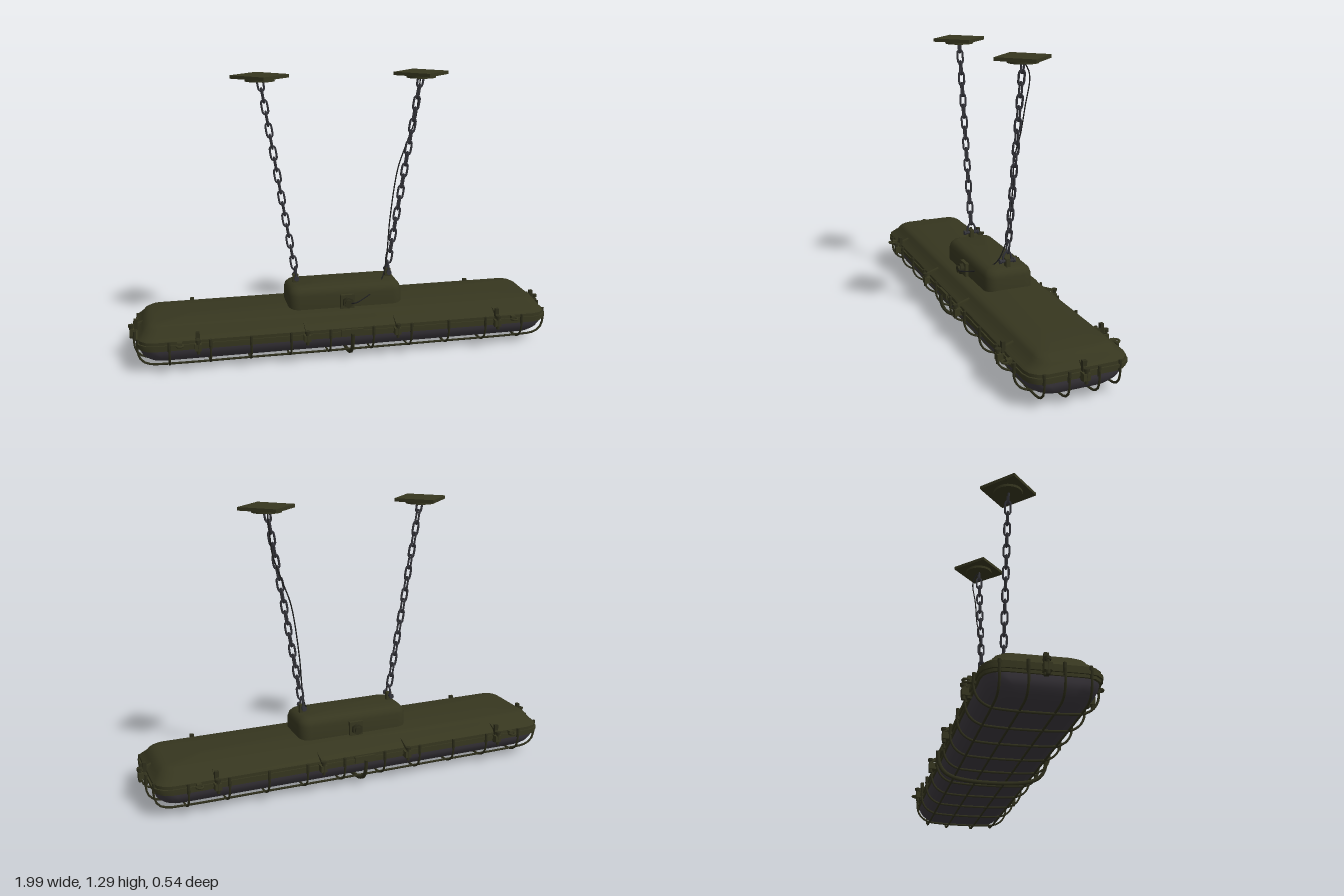
import * as THREE from 'three';
import { toCreasedNormals } from 'three/addons/utils/BufferGeometryUtils.js';

const mat = (name, color) => Object.assign(new THREE.MeshStandardMaterial({ color }), { name });
const V = (x, y, z) => new THREE.Vector3(x, y, z);

export function createModel() {
  const model = new THREE.Group();
  model.name = 'hangingLamp';
  const olive = mat('olivePaint', 0x36361f);
  const darkOlive = mat('cagePaint', 0x2e2e1b);
  const steel = mat('chainSteel', 0x34343a);
  const glass = mat('smokedGlass', 0x3d393f);
  const rubber = mat('cableRubber', 0x1f1f20);

  function add(name, geometry, material, parent = model, x = 0, y = 0, z = 0) {
    const m = new THREE.Mesh(geometry, material);
    m.name = name;
    m.position.set(x, y, z);
    parent.add(m);
    return m;
  }
  const box = (w, h, d) => new THREE.BoxGeometry(w, h, d);
  const cyl = (r, h, n = 12) => new THREE.CylinderGeometry(r, r, h, n);
  const tube = (pts, r, n, closed = false) =>
    new THREE.TubeGeometry(new THREE.CatmullRomCurve3(pts, closed, 'centripetal'), n, r, 6, closed);

  // Solid through rounded rectangles listed upwards as [y, halfX, halfZ, cornerRadius]
  function loft(rings, seg = 4, crease = 0.6) {
    const pos = [], idx = [], n = 4 * (seg + 1);
    for (const [y, hx, hz, r] of rings) {
      for (let c = 0; c < 4; c++) {
        const sx = c === 0 || c === 3 ? 1 : -1, sz = c < 2 ? 1 : -1;
        for (let k = 0; k <= seg; k++) {
          const a = (c + k / seg) * Math.PI / 2;
          pos.push(sx * (hx - r) + r * Math.cos(a), y, sz * (hz - r) + r * Math.sin(a));
        }
      }
    }
    const last = rings.length - 1, bottom = pos.length / 3, top = bottom + 1;
    pos.push(0, rings[0][0], 0, 0, rings[last][0], 0);
    for (let j = 0; j < n; j++) {
      const k = (j + 1) % n;
      for (let i = 0; i < last; i++) {
        const a = i * n + j, b = i * n + k;
        idx.push(a, a + n, b + n, a, b + n, b);
      }
      idx.push(bottom, j, k, top, last * n + k, last * n + j);
    }
    const g = new THREE.BufferGeometry();
    g.setAttribute('position', new THREE.Float32BufferAttribute(pos, 3));
    g.setIndex(idx);
    return toCreasedNormals(g, crease);
  }

  // Housing with flange, sloped shoulder and shallow hipped roof
  add('housing', loft([
    [0.118, 0.955, 0.222, 0.075], [0.16, 0.955, 0.222, 0.075], [0.168, 0.945, 0.212, 0.07],
    [0.188, 0.93, 0.18, 0.06], [0.203, 0.918, 0.172, 0.055], [0.214, 0.9, 0.157, 0.05],
    [0.218, 0.88, 0.14, 0.045], [0.23, 0.72, 0.065, 0.01],
  ], 3), olive);
  add('flangeRim', loft([
    [0.13, 0.962, 0.228, 0.078], [0.146, 0.962, 0.228, 0.078],
  ], 3), olive);

  // Diffuser bowl under the housing
  add('glassBowl', loft([
    [0.038, 0.84, 0.08, 0.05], [0.042, 0.89, 0.13, 0.07], [0.054, 0.92, 0.17, 0.08],
    [0.075, 0.937, 0.197, 0.085], [0.1, 0.945, 0.211, 0.08], [0.122, 0.948, 0.215, 0.075],
  ], 5, 1.0), glass);

  // Ballast box on top, with a cable gland on each long side
  add('ballastBox', loft([
    [0.212, 0.27, 0.115, 0.05], [0.285, 0.268, 0.113, 0.05], [0.303, 0.262, 0.107, 0.046],
    [0.316, 0.25, 0.095, 0.04], [0.323, 0.23, 0.075, 0.03],
  ], 5, 0.7), olive);
  for (const s of [1, -1]) {
    const gland = new THREE.Group();
    gland.name = 'cableGland';
    gland.position.set(0, 0.252, s * 0.11);
    gland.rotation.x = s * Math.PI / 2;
    model.add(gland);
    add('glandBase', box(0.066, 0.02, 0.066), olive, gland, 0, 0.01, 0);
    add('glandNut', cyl(0.026, 0.022, 6), darkOlive, gland, 0, 0.026, 0);
    add('glandCap', cyl(0.017, 0.016, 12), darkOlive, gland, 0, 0.04, 0);
  }

  // Wire cage: cross ribs, one heavy centre rib, lengthwise wires
  const mirrorPath = (half, map) => [
    ...half.map(([a, y]) => map(a, y)),
    ...half.slice(0, -1).reverse().map(([a, y]) => map(-a, y)),
  ];
  const cage = new THREE.Group();
  cage.name = 'wireCage';
  model.add(cage);
  const ribHalf = [[0.234, 0.135], [0.228, 0.09], [0.21, 0.058], [0.175, 0.036], [0.12, 0.029], [0, 0.026]];
  const ribX = [0.1, 0.28, 0.46, 0.64, 0.82].flatMap(x => [x, -x]);
  for (const x of ribX) {
    add('cageRib', tube(mirrorPath(ribHalf, (z, y) => V(x, y, z)), 0.005, 40), darkOlive, cage);
    for (const s of [1, -1]) add('ribBolt', cyl(0.007, 0.045, 8), darkOlive, cage, x, 0.14, s * 0.23);
  }
  const centreHalf = [[0.243, 0.14], [0.236, 0.085], [0.212, 0.047], [0.17, 0.025], [0.1, 0.013], [0, 0.009]];
  add('centreRib', tube(mirrorPath(centreHalf, (z, y) => V(0, y, z)), 0.009, 44), darkOlive, cage);
  const wireHalf = [[0.973, 0.14], [0.97, 0.09], [0.955, 0.055], [0.92, 0.036], [0.86, 0.031], [0.4, 0.029], [0, 0.028]];
  for (const z of [0.065, -0.065, 0.165, -0.165]) {
    const lift = Math.abs(z) > 0.1 ? 0.006 : 0, inset = Math.abs(z) > 0.1 ? 0.985 : 1;
    add('cageWire', tube(mirrorPath(wireHalf, (x, y) => V(x * inset, y + lift, z)), 0.005, 80), darkOlive, cage);
    for (const s of [1, -1]) add('wireBolt', cyl(0.007, 0.045, 8), darkOlive, cage, s * 0.968 * inset, 0.14, z);
  }

  // Clamps around the flange; each is built facing +z at its own origin
  function clamp(x, z, turn, height) {
    const g = new THREE.Group();
    g.name = 'clamp';
    g.position.set(x, 0, z);
    g.rotation.y = turn;
    model.add(g);
    add('clampLug', box(0.03, 0.03, 0.035), olive, g, 0, 0.135, 0.012);
    add('clampBolt', cyl(0.008, 0.065, 8), darkOlive, g, 0, 0.138, 0.022);
    add('clampNut', cyl(0.013, 0.012, 6), darkOlive, g, 0, 0.165, 0.022);
    add('clampArm', box(0.014, 0.014, 0.075), olive, g, 0, 0.172, -0.012).rotation.x = 0.35;
    if (height) add('clampLever', box(0.018, height, 0.016), darkOlive, g, 0, 0.11 + height / 2, 0);
  }
  for (const s of [1, -1]) {
    const turn = s > 0 ? 0 : Math.PI;
    for (const x of [-0.695, 0.695]) clamp(x, s * 0.225, turn, 0.09);
    for (const x of [-0.21, 0.21]) clamp(x, s * 0.225, turn, 0);
    clamp(s * 0.962, 0, s * Math.PI / 2, 0.085);
    // Lifting eyes and centre rib mounts
    for (const x of [-0.775, 0.775]) {
      add('eyeLug', box(0.022, 0.02, 0.04), olive, model, x, 0.15, s * 0.225);
      add('liftingEye', new THREE.TorusGeometry(0.014, 0.005, 6, 16), olive, model, x, 0.15, s * 0.25)
        .rotation.x = Math.PI / 2;
    }
    add('ribMount', box(0.1, 0.03, 0.012), olive, model, 0, 0.14, s * 0.227);
  }

  // Ceiling plates, chains and shackles
  const linkPts = [];
  for (let i = 0; i < 16; i++) {
    const a = (i + 0.5) / 16 * Math.PI * 2;
    linkPts.push(V(0.0125 * Math.cos(a), 0.0125 * Math.sin(a) + (i < 8 ? 0.02 : -0.02), 0));
  }
  const link = tube(linkPts, 0.005, 28, true);
  for (const s of [1, -1]) {
    const hanger = new THREE.Group();
    hanger.name = s > 0 ? 'leftHanger' : 'rightHanger';
    model.add(hanger);
    add('ceilingPlate', box(0.185, 0.015, 0.185), olive, hanger, s * 0.37, 1.2825, 0).rotation.y = Math.PI / 4;
    add('plateBoss', cyl(0.067, 0.014, 24), olive, hanger, s * 0.37, 1.269, 0);
    for (let i = 0; i < 17; i++) {
      const t = i / 16;
      const m = add('chainLink', link, steel, hanger, s * (0.367 - 0.137 * t), 1.25 - 0.832 * t, 0);
      m.rotation.set(0, i % 2 ? Math.PI / 2 : 0, -s * 0.163, 'ZYX');
    }
    // Bottom shackle with cross pin, standing on a lug
    const x = s * 0.222;
    add('shackle', tube([V(x, 0.34, 0.02), V(x, 0.375, 0.018), V(x, 0.397, 0), V(x, 0.375, -0.018), V(x, 0.34, -0.02)],
      0.005, 20), steel, hanger);
    add('shacklePin', cyl(0.007, 0.075, 8), steel, hanger, x, 0.348, 0).rotation.x = Math.PI / 2;
    for (const e of [1, -1]) add('pinHead', cyl(0.012, 0.008, 8), steel, hanger, x, 0.348, e * 0.034).rotation.x = Math.PI / 2;
    add('shackleLug', box(0.026, 0.05, 0.02), olive, hanger, x, 0.335, 0);
  }

  // Power cable from the front gland up along the left chain
  add('powerCable', tube([
    V(0, 0.252, 0.15), V(0.03, 0.255, 0.16), V(0.08, 0.265, 0.13), V(0.14, 0.29, 0.09), V(0.19, 0.335, 0.04),
    V(0.215, 0.42, 0.008), V(0.235, 0.6, -0.012), V(0.27, 0.84, -0.012), V(0.31, 0.95, -0.02),
    V(0.355, 1.08, -0.02), V(0.37, 1.19, -0.032), V(0.372, 1.23, -0.025), V(0.368, 1.265, -0.005),
  ], 0.003, 90), rubber);

  return model;
}
